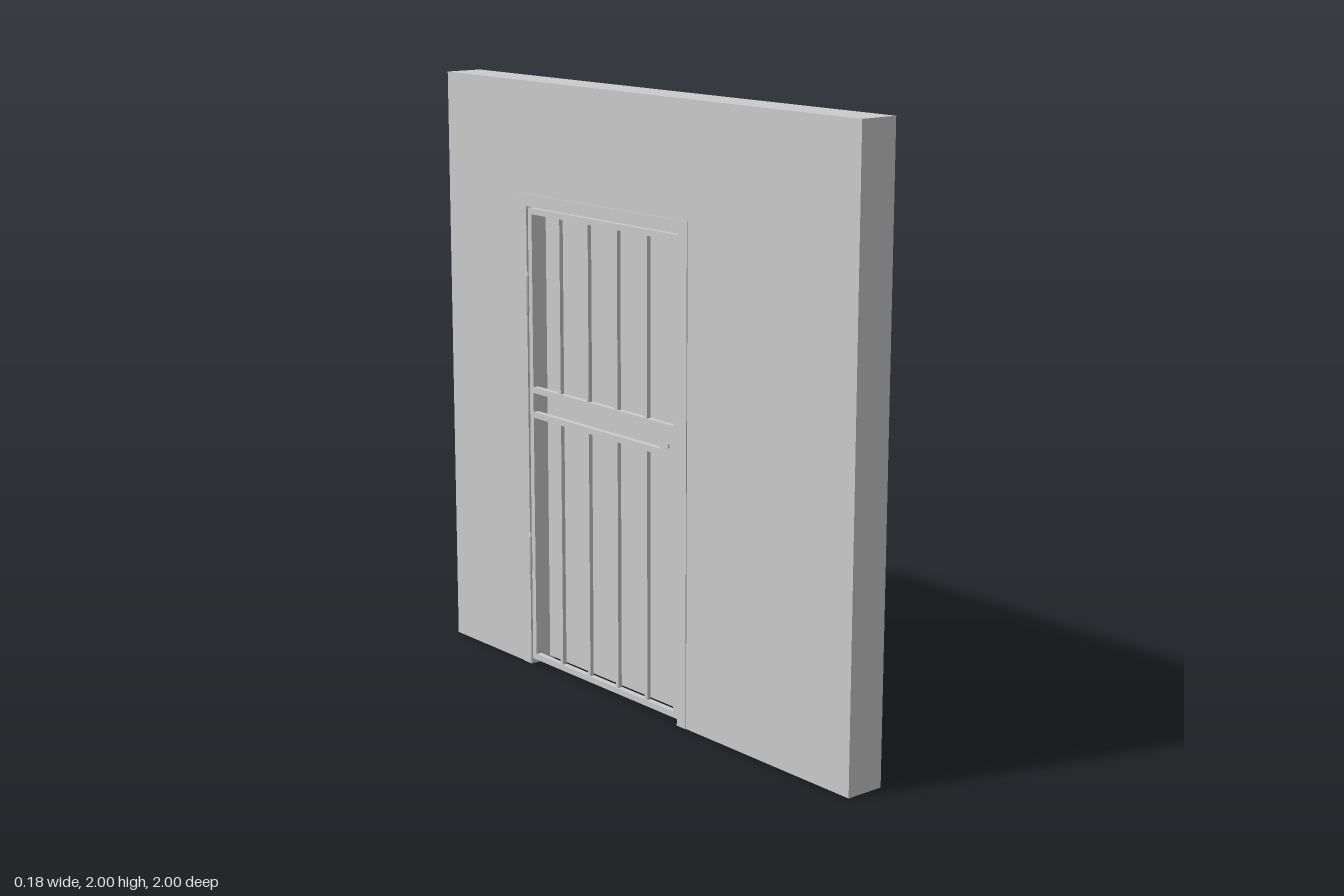
import * as THREE from 'three';

const material = new THREE.MeshStandardMaterial({ color: 0xcccccc });

// Main dimensions: the wall runs along z, the door faces +x
const WALL = { back: -0.08, front: 0.053 };
const FRAME = { z0: -0.6, z1: 0.26, top: 1.63, width: 0.042 };
const OPEN = { z0: FRAME.z0 + FRAME.width, z1: FRAME.z1 - FRAME.width, top: FRAME.top - FRAME.width };
const DOOR = { back: -0.005, front: 0.036 };
const HANDLE_Z = 0.18;

function add(parent, name, geometry, x = 0, y = 0, z = 0) {
  const mesh = new THREE.Mesh(geometry, material);
  mesh.name = name;
  mesh.position.set(x, y, z);
  parent.add(mesh);
  return mesh;
}

// Box given by its limits on each axis
function box(parent, name, x0, x1, y0, y1, z0, z1) {
  return add(parent, name, new THREE.BoxGeometry(x1 - x0, y1 - y0, z1 - z0),
    (x0 + x1) / 2, (y0 + y1) / 2, (z0 + z1) / 2);
}

// Extrude a (z, y) outline along x
function plate(parent, name, points, x0, x1) {
  const shape = new THREE.Shape(points.map(([z, y]) => new THREE.Vector2(-z, y)));
  const geometry = new THREE.ExtrudeGeometry(shape, { depth: x1 - x0, bevelEnabled: false });
  geometry.rotateY(Math.PI / 2);
  return add(parent, name, geometry, x0);
}

// Upside-down U: outer limits a around inner limits b, open at the floor
function portal(a, b) {
  return [[a.z0, 0], [a.z0, a.top], [a.z1, a.top], [a.z1, 0],
    [b.z1, 0], [b.z1, b.top], [b.z0, b.top], [b.z0, 0]];
}

function rod(parent, name, radius, length, x, y, z, axis = 'y') {
  const geometry = new THREE.CylinderGeometry(radius, radius, length, 20);
  if (axis === 'x') geometry.rotateZ(Math.PI / 2);
  if (axis === 'z') geometry.rotateX(Math.PI / 2);
  return add(parent, name, geometry, x, y, z);
}

// Rounded back plate, bent lever and lock cylinder; side is +1 outside, -1 inside
function doorHandle(name, surface, side, reach) {
  const handle = new THREE.Group();
  handle.name = name;
  const r = 0.02, y0 = 0.825, y1 = 1.04;
  const outline = [];
  for (let i = 0; i <= 24; i++) {
    const a = (i / 24) * Math.PI * 2;
    const cy = i <= 12 ? y1 - r : y0 + r;
    outline.push([r * Math.cos(a), cy + r * Math.sin(a)]);
  }
  plate(handle, 'backPlate', outline, 0, 0.007);
  const y = 0.96;
  const path = new THREE.CatmullRomCurve3([
    [0, 0], [reach - 0.02, 0], [reach - 0.012, -0.004], [reach - 0.007, -0.014], [reach - 0.007, -0.086],
  ].map(([x, z]) => new THREE.Vector3(x, y, z)), false, 'catmullrom', 0.3);
  add(handle, 'lever', new THREE.TubeGeometry(path, 40, 0.007, 12, false));
  add(handle, 'leverTip', new THREE.SphereGeometry(0.007, 12, 8), reach - 0.007, y, -0.086);
  rod(handle, 'leverCollar', 0.012, 0.012, 0.008, y, 0, 'x');
  rod(handle, 'lockCylinder', 0.009, 0.022, 0.011, 0.905, 0, 'x');
  box(handle, 'lockCylinderTail', 0, 0.022, 0.885, 0.905, -0.004, 0.004);
  for (const sy of [0.842, 1.022]) rod(handle, 'screw', 0.004, 0.003, 0.0075, sy, 0, 'x');
  handle.position.set(surface, 0, HANDLE_Z);
  // Turning by 180 degrees about y flips z, so the inner lever is turned about x as well
  if (side < 0) {
    handle.rotation.z = Math.PI;
    handle.position.y = 2 * y;
    handle.children.forEach((m) => {
      if (m.name.startsWith('lever')) return;
      m.rotation.x = Math.PI;
      m.position.y = 2 * y - m.position.y;
    });
  }
  return handle;
}

// Barrel hinge with narrowed knuckle ends
function hinge(name, x, y0, y1, z, r) {
  const h = y1 - y0;
  const profile = [[0, 0], [r * 0.6, 0.004], [r * 0.6, 0.014], [r, 0.016], [r, h / 2 - 0.001], [r * 0.8, h / 2],
    [r, h / 2 + 0.001], [r, h - 0.016], [r * 0.6, h - 0.014], [r * 0.6, h - 0.004], [0, h]]
    .map(([px, py]) => new THREE.Vector2(px, py));
  const mesh = new THREE.Mesh(new THREE.LatheGeometry(profile, 16), material);
  mesh.name = name;
  mesh.position.set(x, y0, z);
  return mesh;
}

function securityGrille() {
  const grille = new THREE.Group();
  grille.name = 'securityGrille';
  const x0 = -0.079, x1 = -0.059, t = 0.02;
  const z0 = OPEN.z0 + 0.004, z1 = OPEN.z1 - 0.004, y0 = 0.02, y1 = OPEN.top - 0.005;
  // Outer stiles
  box(grille, 'grilleStile', x0, x1, y0, y1, z0, z0 + t);
  box(grille, 'grilleStile', x0, x1, y0, y1, z1 - t, z1);
  // Horizontal rails: bottom, two in the middle, top
  const rails = [y0, 0.875, 0.96, y1 - t];
  for (const y of rails) box(grille, 'grilleRail', x0, x1, y, y + t, z0 + t, z1 - t);
  // Four upright bars above and below the middle rails
  for (let i = 1; i <= 4; i++) {
    const z = THREE.MathUtils.lerp(z0 + t / 2, z1 - t / 2, i / 5);
    for (const [a, b] of [[rails[0] + t, rails[1]], [rails[2] + t, rails[3]]]) {
      box(grille, 'grilleBar', x0 + 0.003, x1 - 0.003, a, b, z - 0.007, z + 0.007);
    }
  }
  // Lock case between the middle rails
  box(grille, 'grilleLockCase', x0 + 0.001, x1, 0.895, 0.96, 0.125, z1 - t);
  rod(grille, 'grilleLockCylinder', 0.009, 0.036, -0.067, 0.912, 0.165, 'x');
  // Hinges on the back of the frame
  for (const y of [0.32, 1.22]) {
    grille.add(hinge('grilleHinge', -0.08, y, y + 0.15, -0.56, 0.008));
  }
  return grille;
}

export function createModel() {
  const model = new THREE.Group();
  model.name = 'wallWithDoor';

  // Wall with a doorway open to the floor
  plate(model, 'wall', portal({ z0: -1, z1: 1, top: 2 }, FRAME), WALL.back, WALL.front);

  // Frame lining the doorway, standing slightly proud of both faces
  plate(model, 'doorFrame', portal(FRAME, OPEN), WALL.back - 0.003, WALL.front + 0.003);

  // Solid door leaf set back in the frame
  const door = new THREE.Group();
  door.name = 'door';
  box(door, 'doorLeaf', DOOR.back, DOOR.front, 0.014, OPEN.top - 0.003, OPEN.z0 + 0.003, OPEN.z1 - 0.003);
  door.add(doorHandle('outerHandle', DOOR.front, 1, 0.052));
  door.add(doorHandle('innerHandle', DOOR.back, -1, 0.045));
  door.add(hinge('doorHinge', DOOR.front + 0.002, 0.335, 0.405, OPEN.z0 + 0.004, 0.006));
  model.add(door);

  model.add(securityGrille());
  return model;
}
